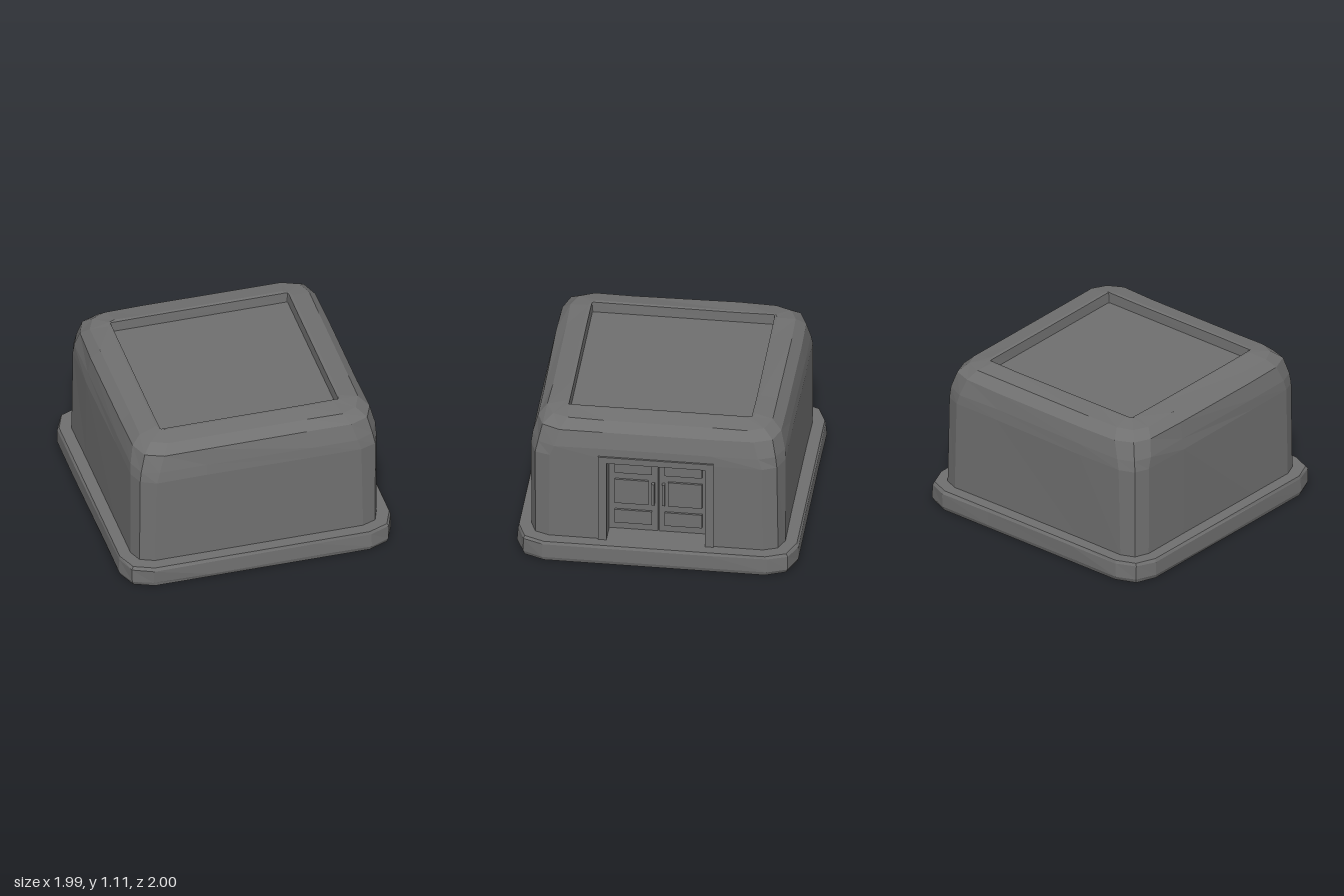
import * as THREE from 'three';

// Small repeatable wobble for the hand-cut look
const wobble = (a, b) => {
  const s = Math.sin(a * 12.9898 + b * 78.233) * 43758.5453;
  return (s - Math.floor(s) - 0.5) * 2;
};

// Square ring with cut corners; five points per side, starting on +x
function ring(h, c, y, amount, seed) {
  const m = 0.38, k = h - 0.29 * c, pts = [];
  const side = [[h, -m], [h, m], [h, h - c], [k, k], [h - c, h]];
  for (let q = 0; q < 4; q++) {
    side.forEach(([x, z], i) => {
      for (let r = 0; r < q; r++) [x, z] = [-z, x];
      const j = q * 5 + i;
      const a = q === 0 && i < 2 ? 0 : amount; // keep the doorway true
      pts.push(new THREE.Vector3(x * (1 + a * wobble(j, seed)), y + a * 0.6 * wobble(j, seed + 9), z * (1 + a * wobble(j, seed + 5))));
    });
  }
  return pts;
}

// Skin a stack of rings with faceted faces, optional caps and skipped quads
function loft(rings, { bottom = false, top = false, skip = () => false } = {}) {
  const pos = [];
  const tri = (...v) => v.forEach((p) => pos.push(p.x, p.y, p.z));
  const n = rings[0].length;
  for (let i = 0; i < rings.length - 1; i++) {
    for (let j = 0; j < n; j++) {
      if (skip(i, j)) continue;
      const a = rings[i][j], b = rings[i][(j + 1) % n];
      const d = rings[i + 1][j], c = rings[i + 1][(j + 1) % n];
      tri(a, d, c);
      tri(a, c, b);
    }
  }
  const cap = (r, up) => {
    const mid = new THREE.Vector3(0, r[0].y, 0);
    r.forEach((p, j) => {
      const q = r[(j + 1) % n];
      if (up) tri(mid, q, p);
      else tri(mid, p, q);
    });
  };
  if (bottom) cap(rings[0], false);
  if (top) cap(rings[rings.length - 1], true);
  const g = new THREE.BufferGeometry();
  g.setAttribute('position', new THREE.Float32BufferAttribute(pos, 3));
  g.computeVertexNormals();
  return g;
}

export function createModel() {
  const model = new THREE.Group();
  model.name = 'stoneHouse';
  const stone = new THREE.MeshStandardMaterial({ color: 0x707070 });
  stone.name = 'greyStone';

  const add = (name, geometry, parent = model) => {
    const mesh = new THREE.Mesh(geometry, stone);
    mesh.name = name;
    parent.add(mesh);
    return mesh;
  };
  const box = (name, x0, x1, y0, y1, z0, z1, parent) => {
    const mesh = add(name, new THREE.BoxGeometry(x1 - x0, y1 - y0, Math.abs(z1 - z0)), parent);
    mesh.position.set((x0 + x1) / 2, (y0 + y1) / 2, (z0 + z1) / 2);
    return mesh;
  };

  // Plinth
  add('plinth', loft([
    ring(0.985, 0.2, 0, 0, 1),
    ring(0.995, 0.2, 0.03, 0.005, 2),
    ring(0.995, 0.2, 0.135, 0.005, 3),
    ring(0.985, 0.2, 0.155, 0, 4),
  ], { bottom: true, top: true }));

  // Walls rolling over to the parapet, with the sunken roof inside
  add('walls', loft([
    ring(0.9, 0.14, 0.15, 0.003, 11),
    ring(0.9, 0.15, 0.83, 0.006, 12),
    ring(0.895, 0.17, 0.91, 0.006, 13),
    ring(0.865, 0.18, 1.03, 0.007, 14),
    ring(0.8, 0.16, 1.09, 0.007, 15),
    ring(0.67, 0.06, 1.11, 0.004, 16),
    ring(0.65, 0.01, 1.107, 0.003, 17),
    ring(0.645, 0.01, 1.03, 0, 18),
  ], { top: true, skip: (i, j) => i === 0 && j === 0 }));

  // Deep door surround
  const arch = new THREE.Shape();
  [[-0.41, 0.15], [-0.35, 0.15], [-0.35, 0.8], [0.35, 0.8], [0.35, 0.15], [0.41, 0.15], [0.41, 0.85], [-0.41, 0.85]]
    .forEach(([x, y], i) => (i ? arch.lineTo(x, y) : arch.moveTo(x, y)));
  const surround = add('doorSurround', new THREE.ExtrudeGeometry(arch, { depth: 0.2, bevelEnabled: false }));
  surround.rotation.y = Math.PI / 2;
  surround.position.x = 0.712;

  // Double door with raised panels and pull bars
  const panels = [[0.21, 0.32, 0.045], [0.375, 0.575, 0.07], [0.63, 0.74, 0.045]];
  for (const s of [1, -1]) {
    const leaf = new THREE.Group();
    leaf.name = s > 0 ? 'leftDoor' : 'rightDoor';
    model.add(leaf);
    box('doorLeaf', 0.7, 0.75, 0.15, 0.8, s * 0.003, s * 0.35, leaf);
    panels.forEach(([y0, y1, z]) => box('doorPanel', 0.74, 0.765, y0, y1, s * z, s * 0.31, leaf));
    box('doorHandle', 0.74, 0.78, 0.385, 0.56, s * 0.027, s * 0.047, leaf);
  }
  box('doorBacking', 0.69, 0.72, 0.15, 0.8, -0.36, 0.36);

  return model;
}
